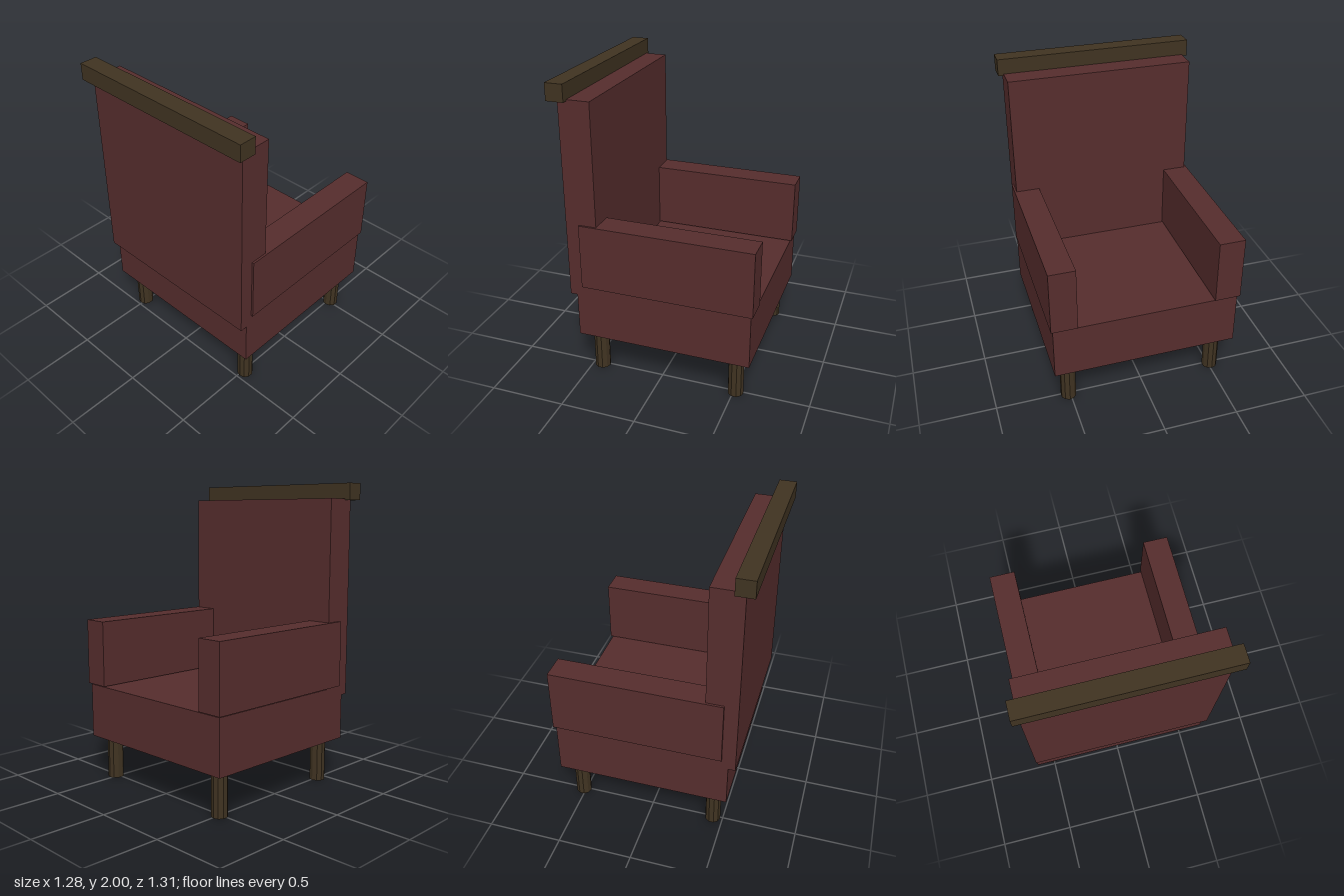
import * as THREE from 'three';

export function createModel() {
  const group = new THREE.Group();
  const upholstery = new THREE.MeshStandardMaterial({ color: 0x562d2d, flatShading: true });
  upholstery.name = 'dark red upholstery';
  const wood = new THREE.MeshStandardMaterial({ color: 0x403321, flatShading: true });
  wood.name = 'dark wood';

  const add = (name, geometry, material, x, y, z) => {
    const mesh = new THREE.Mesh(geometry, material);
    mesh.name = name;
    mesh.position.set(x, y, z);
    group.add(mesh);
    return mesh;
  };

  // Box given by its extents along each axis
  const box = (name, material, [x0, x1], [y0, y1], [z0, z1]) =>
    add(name, new THREE.BoxGeometry(x1 - x0, y1 - y0, z1 - z0), material,
      (x0 + x1) / 2, (y0 + y1) / 2, (z0 + z1) / 2);

  // Seat, backrest and top rail; the chair opens towards +x
  box('seat', upholstery, [-0.54, 0.624], [0.29, 0.652], [-0.619, 0.619]);
  box('backrest', upholstery, [-0.587, -0.381], [0.59, 1.9], [-0.619, 0.619]);
  box('topRail', wood, [-0.643, -0.528], [1.89, 2], [-0.655, 0.655]);

  // Armrests, floating just above the seat
  box('armrestNear', upholstery, [-0.497, 0.638], [0.66, 1.097], [0.46, 0.632]);
  box('armrestFar', upholstery, [-0.497, 0.638], [0.66, 1.097], [-0.634, -0.46]);

  // Ten-sided legs, with a corner pointing along x
  const legGeometry = new THREE.CylinderGeometry(0.052, 0.052, 0.3, 10).rotateY(Math.PI / 2);
  for (const x of [-0.432, 0.515]) {
    for (const z of [-0.509, 0.514]) {
      add(x < 0 ? 'backLeg' : 'frontLeg', legGeometry, wood, x, 0.15, z);
    }
  }
  return group;
}
